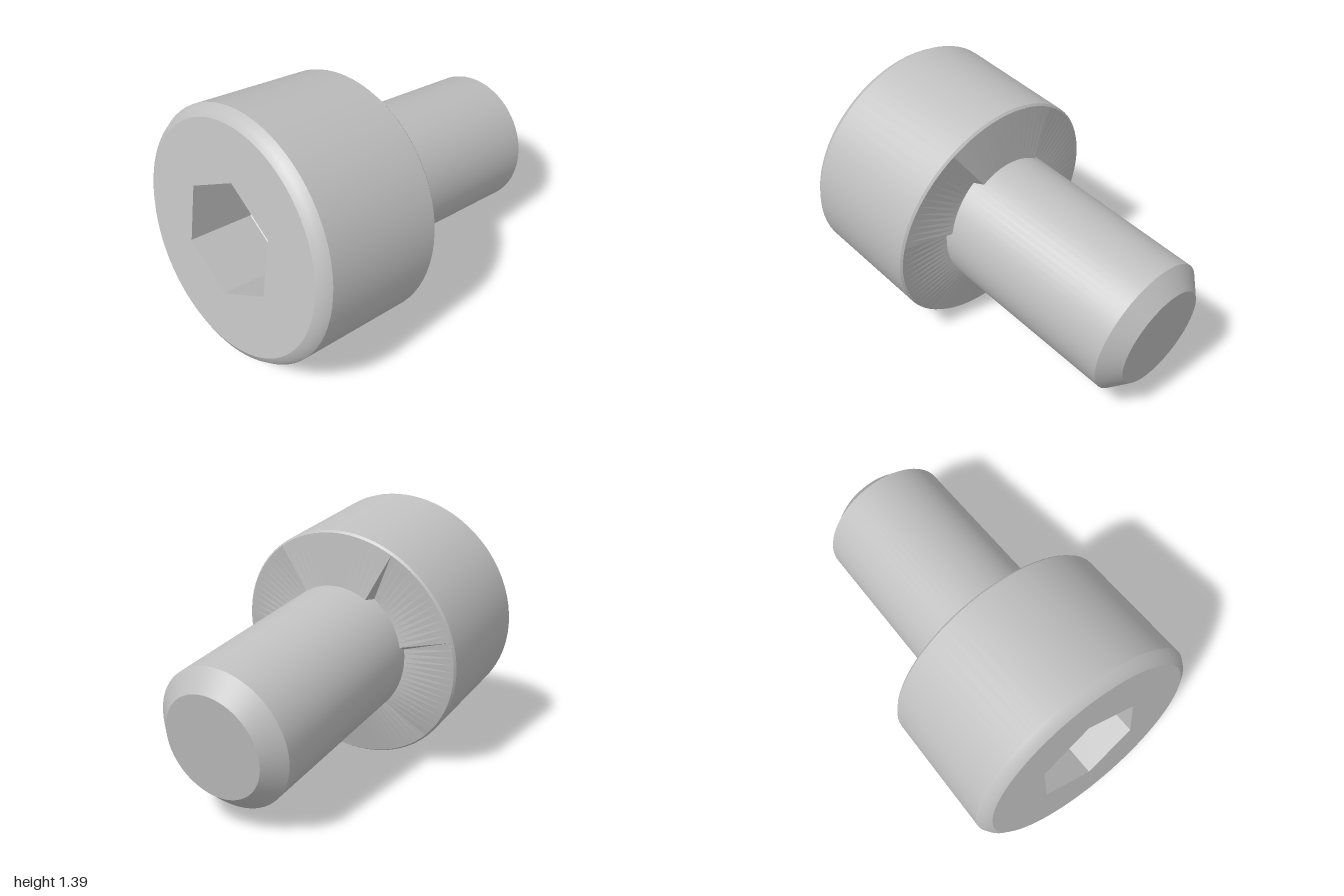
import * as THREE from 'three';
import { toCreasedNormals } from 'three/addons/utils/BufferGeometryUtils.js';

const TILT = THREE.MathUtils.degToRad(9.9);
const HEAD_R = 0.65, HEAD_LEN = 0.73, FACE_R = 0.594;
const SHANK_R = 0.367, SHANK_LEN = 1.147;
const HEX_R = 0.315;
const CENTRE_Y = 0.645, CENTRE_Z = 0.18;

// Turned part along local z; profile is [radius, z] with z rising
function turned(profile) {
  const points = profile.map(([r, z]) => new THREE.Vector2(r, z));
  const geometry = new THREE.LatheGeometry(points, 72).rotateX(Math.PI / 2);
  return toCreasedNormals(geometry, 0.5);
}

// Flat facets from convex polygons, corners counter-clockwise
function facets(polygons) {
  const positions = [];
  for (const p of polygons) {
    for (let i = 1; i < p.length - 1; i++) positions.push(...p[0], ...p[i], ...p[i + 1]);
  }
  const geometry = new THREE.BufferGeometry();
  geometry.setAttribute('position', new THREE.Float32BufferAttribute(positions, 3));
  geometry.computeVertexNormals();
  return geometry;
}

const polar = (r, a, z) => [r * Math.cos(a), r * Math.sin(a), z];
const hexCorner = (i, z) => polar(HEX_R, Math.PI / 2 + (i * Math.PI) / 3, z);

// Front face with the hexagonal opening
function faceGeometry() {
  const shape = new THREE.Shape().absarc(0, 0, FACE_R, 0, Math.PI * 2, false);
  const corners = Array.from({ length: 6 }, (_, i) => hexCorner(i, 0));
  shape.holes.push(new THREE.Path(corners.map(([x, y]) => new THREE.Vector2(x, y))));
  return new THREE.ShapeGeometry(shape, 36).translate(0, 0, HEAD_LEN);
}

// Six walls and a floor that drops to a crosswise valley
function socketGeometry() {
  const floor = 0.36, valley = 0.24;
  const polygons = [];
  for (let i = 0; i < 6; i++) {
    polygons.push([hexCorner(i, HEAD_LEN), hexCorner(i + 1, HEAD_LEN),
      hexCorner(i + 1, floor), hexCorner(i, floor)]);
  }
  const [top, upL, lowL, bottom, lowR, upR] = Array.from({ length: 6 }, (_, i) => hexCorner(i, floor));
  const ledgeL = [-0.199, 0.2, floor], ledgeR = [0.199, 0.2, floor];
  const valleyL = [upL[0], 0, valley], valleyR = [upR[0], 0, valley], middle = [0, 0, valley];
  polygons.push(
    [top, ledgeL, ledgeR],
    [ledgeL, valleyL, valleyR, ledgeR],
    [ledgeL, upL, valleyL],
    [ledgeR, valleyR, upR],
    [valleyL, lowL, bottom, middle],
    [middle, bottom, lowR, valleyR],
    [upL, lowL, valleyL],
    [lowR, upR, valleyR],
  );
  return facets(polygons);
}

// Ring under the head, its inner edge rising in steps along the shank
function undersideGeometry() {
  const n = 96, outer = 0.64;
  const inner = (a) => {
    const v = SHANK_R * Math.sin(a);
    const step = v > 0.31 ? 0.065 : v > 0.05 ? 0.12 : v > -0.26 ? 0.16 : 0.2;
    const z = (step - CENTRE_Z + Math.sin(TILT) * v) / Math.cos(TILT);
    return polar(SHANK_R, a, Math.min(z, 0));
  };
  const polygons = [];
  for (let i = 0; i < n; i++) {
    const a = (i / n) * Math.PI * 2, b = ((i + 1) / n) * Math.PI * 2;
    polygons.push([polar(outer, a, 0), inner(a), inner(b)]);
    polygons.push([polar(outer, a, 0), inner(b), polar(outer, b, 0)]);
  }
  return facets(polygons);
}

export function createModel() {
  const steel = new THREE.MeshStandardMaterial({ color: 0xc0c0c0 });
  steel.name = 'steel grey';

  const screw = new THREE.Group();
  screw.name = 'socketHeadScrew';
  const add = (name, geometry) => {
    const mesh = new THREE.Mesh(geometry, steel);
    mesh.name = name;
    screw.add(mesh);
  };

  add('head', turned([[0.64, 0], [HEAD_R, 0.012], [HEAD_R, 0.676], [0.627, 0.71], [FACE_R, HEAD_LEN]]));
  add('headFace', faceGeometry());
  add('hexSocket', socketGeometry());
  add('headUnderside', undersideGeometry());
  add('shank', turned([[0, -SHANK_LEN], [0.27, -SHANK_LEN], [SHANK_R, -1.059], [SHANK_R, 0]]));

  // Lean the whole screw so its face looks slightly upward
  screw.rotation.x = -TILT;
  screw.position.set(0, CENTRE_Y, CENTRE_Z);

  const model = new THREE.Group();
  model.name = 'screwModel';
  model.add(screw);
  return model;
}
